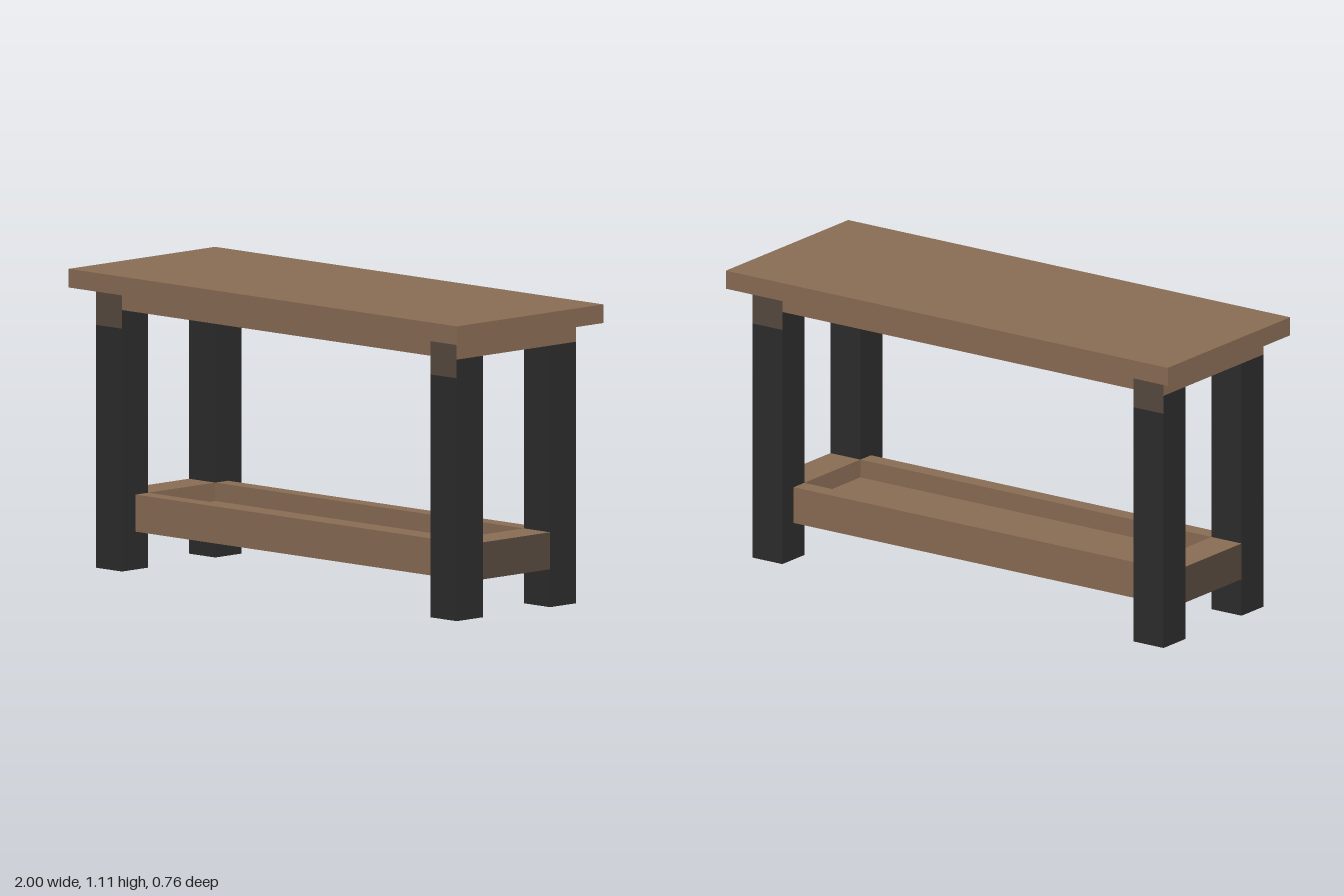
import * as THREE from 'three';

const wood = new THREE.MeshStandardMaterial({ name: 'wood', color: 0x8c6e56 });
const darkWood = new THREE.MeshStandardMaterial({ name: 'darkWood', color: 0x594b40 });
const black = new THREE.MeshStandardMaterial({ name: 'blackPaint', color: 0x2d2d2d });

// Box given by its extents; material may be an array ordered +x, -x, +y, -y, +z, -z
function box(parent, name, [x0, x1], [y0, y1], [z0, z1], material) {
  const mesh = new THREE.Mesh(new THREE.BoxGeometry(x1 - x0, y1 - y0, z1 - z0), material);
  mesh.position.set((x0 + x1) / 2, (y0 + y1) / 2, (z0 + z1) / 2);
  mesh.name = name;
  parent.add(mesh);
}

const span = (side, inner, outer) => (side > 0 ? [inner, outer] : [-outer, -inner]);

export function createModel() {
  const table = new THREE.Group();
  table.name = 'table';

  const legIn = 0.795, legOut = 0.93; // leg extents in x
  const legZIn = 0.174, legZOut = 0.31; // leg extents in z
  const legTop = 0.967, apronTop = 1.036;
  const shelfLow = 0.14, shelfFloor = 0.209, shelfTop = 0.277;

  // Top slab and the solid apron beneath it
  box(table, 'tableTop', [-1, 1], [apronTop, 1.105], [-0.38, 0.38], wood);
  box(table, 'apron', [-legIn, legIn], [legTop, apronTop], [-legZOut, legZOut], wood);

  // Shelf floor with raised long rails
  box(table, 'shelfFloor', [-legIn, legIn], [shelfLow, shelfFloor], [-legZIn, legZIn], wood);

  for (const s of [1, -1]) {
    const x = span(s, legIn, legOut);
    box(table, 'shelfRail', [-legIn, legIn], [shelfLow, shelfTop], span(s, legZIn, 0.24), wood);

    // Ends: apron with dark joints on front and back, and the stretcher
    box(table, 'apronEnd', x, [legTop, apronTop], [-legZOut, legZOut],
      [wood, wood, wood, wood, darkWood, darkWood]);
    const ends = s > 0 ? [darkWood, wood] : [wood, darkWood];
    box(table, 'endStretcher', x, [shelfLow, shelfTop], [-legZIn, legZIn],
      [...ends, wood, black, wood, wood]);

    // Legs with a dark wood collar on the front and back faces
    for (const t of [1, -1]) {
      const z = span(t, legZIn, legZOut);
      const leg = new THREE.Group();
      leg.name = 'leg';
      box(leg, 'legPost', x, [0, 0.898], z, black);
      const faces = t > 0 ? [darkWood, black] : [black, darkWood];
      box(leg, 'legCollar', x, [0.898, legTop], z, [black, black, black, black, ...faces]);
      table.add(leg);
    }
  }
  return table;
}
